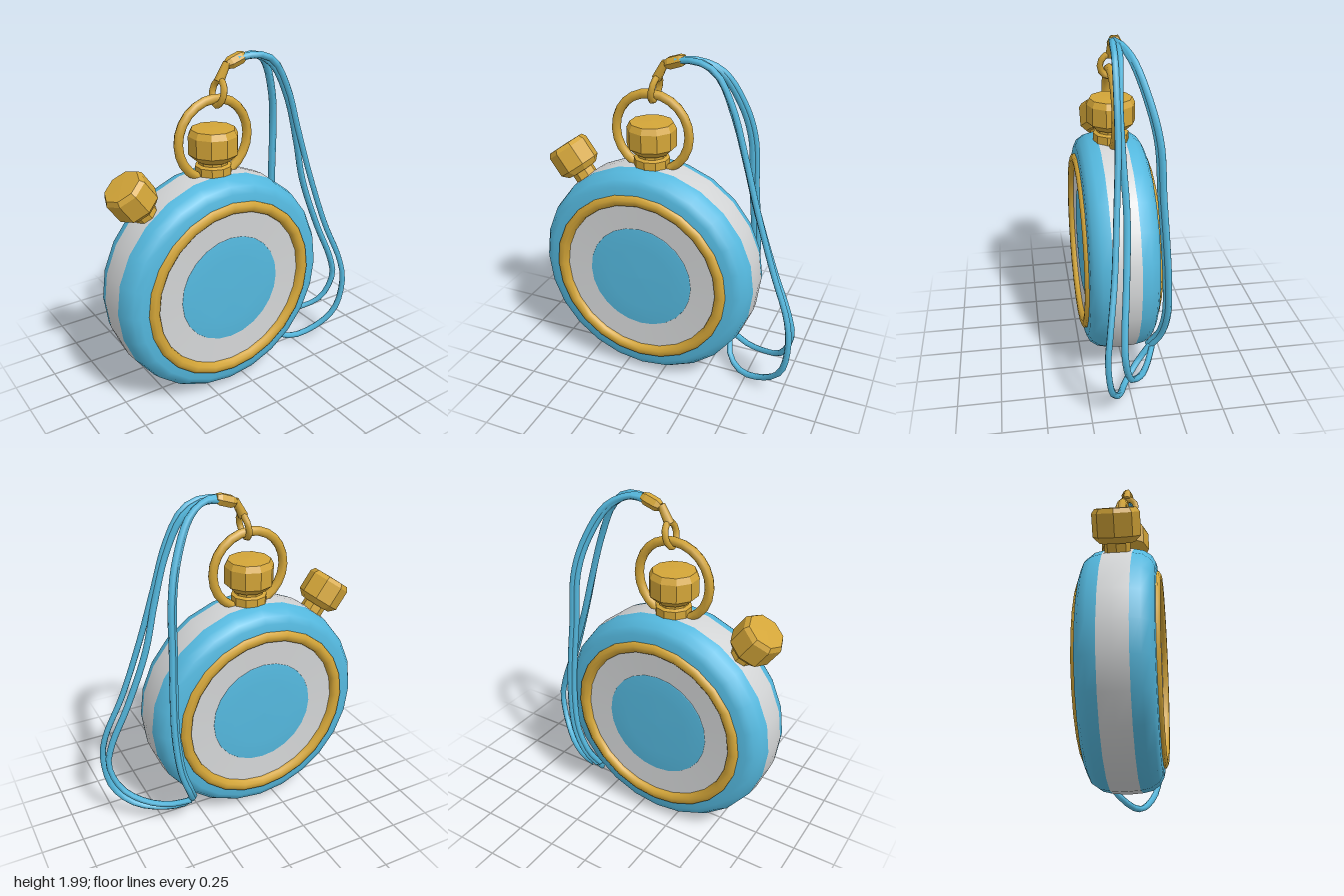
import * as THREE from 'three';

const CX = -0.13, CY = 0.67, CZ = 0.017;

function material(name, color, extra = {}) {
  const m = new THREE.MeshStandardMaterial({ color, ...extra });
  m.name = name;
  return m;
}

export function createModel() {
  const model = new THREE.Group();
  model.name = 'stopwatch';
  const blue = material('sky blue', 0x54b8de);
  const gold = material('gold', 0xd3a538);
  const grey = material('light grey', 0xd2d4d5);

  function add(parent, name, geometry, mat) {
    const mesh = new THREE.Mesh(geometry, mat);
    mesh.name = name;
    parent.add(mesh);
    return mesh;
  }
  // Turned part whose axis points along +z
  function turned(points, segments = 24) {
    const g = new THREE.LatheGeometry(points.map(p => new THREE.Vector2(...p)), segments);
    return g.rotateX(Math.PI / 2);
  }
  // Faceted turned part along +y
  function faceted(points, sides) {
    const g = new THREE.LatheGeometry(points.map(p => new THREE.Vector2(...p)), sides).toNonIndexed();
    g.computeVertexNormals();
    return g;
  }

  // Case: a grey middle band and two identical sides
  const body = new THREE.Group();
  body.name = 'case';
  body.position.set(CX, CY, CZ);
  model.add(body);
  add(body, 'middleBand', turned([[0.672, -0.08], [0.678, 0], [0.672, 0.08]]), grey);

  for (const [name, angle] of [['front', 0], ['back', Math.PI]]) {
    const side = new THREE.Group();
    side.name = name + 'Side';
    side.rotation.y = angle;
    body.add(side);
    add(side, name + 'Shell', turned([[0.672, 0.08], [0.66, 0.135], [0.63, 0.178], [0.59, 0.198], [0.52, 0.203]]), blue);
    add(side, name + 'Bezel', turned([[0.546, 0.19], [0.543, 0.212], [0.522, 0.224], [0.5, 0.222], [0.482, 0.208], [0.478, 0.18]]), gold);
    add(side, name + 'DialRing', turned([[0.485, 0.19], [0.32, 0.184]]), grey);
    add(side, name + 'DialCentre', turned([[0.326, 0.182], [0.322, 0.19], [0.2, 0.193], [0, 0.195]]), blue);
  }

  // Winding crown on top
  const crown = new THREE.Group();
  crown.name = 'crown';
  crown.position.set(CX + 0.005, 0, CZ);
  model.add(crown);
  add(crown, 'crownStem', faceted([[0, 1.27], [0.105, 1.27], [0.105, 1.38], [0.085, 1.39], [0.085, 1.43]], 10), gold);
  add(crown, 'crownHead', faceted([[0, 1.41], [0.1, 1.41], [0.143, 1.45], [0.143, 1.555], [0.125, 1.59], [0, 1.595]], 10), gold);

  // Slanted push button
  const button = new THREE.Group();
  button.name = 'pushButton';
  button.position.set(-0.635, 1.29, CZ);
  button.rotation.z = 0.62;
  model.add(button);
  add(button, 'buttonStem', faceted([[0, -0.2], [0.07, -0.2], [0.07, -0.06]], 8), gold);
  add(button, 'buttonHead', faceted([[0, -0.085], [0.095, -0.085], [0.13, -0.05], [0.13, 0.075], [0.112, 0.1], [0, 0.102]], 8), gold);

  // Hanging ring, with a link and bead to the cord
  const ring = add(model, 'hangingRing', new THREE.TorusGeometry(0.226, 0.027, 7, 24), gold);
  ring.position.set(-0.122, 1.527, CZ);
  const link = add(model, 'link', new THREE.TorusGeometry(0.056, 0.018, 6, 12), gold);
  link.scale.y = 1.2;
  link.rotation.set(0, Math.PI / 2, -0.2, 'ZYX');
  link.position.set(-0.095, 1.785, 0.025);
  const swivel = add(model, 'swivel', new THREE.CylinderGeometry(0.022, 0.028, 0.11, 6), gold);
  swivel.position.set(-0.062, 1.89, 0.022);
  swivel.rotation.z = -0.5;
  const bead = add(model, 'cordBead', faceted([[0, -0.06], [0.025, -0.06], [0.036, -0.035], [0.036, 0.035], [0.025, 0.06], [0, 0.06]], 6), gold);
  bead.position.set(0.022, 1.945, 0.018);
  bead.rotation.z = -1.25;

  // Cord strands
  const cords = {
    frontCord: [[0.04, 1.955, 0.03], [0.15, 1.965, 0.045], [0.26, 1.92, 0.05], [0.36, 1.75, 0.055], [0.44, 1.5, 0.06],
      [0.53, 1.2, 0.08], [0.65, 0.85, 0.11], [0.76, 0.58, 0.15], [0.785, 0.43, 0.165], [0.75, 0.2, 0.14],
      [0.63, 0.07, 0.08], [0.47, 0.024, 0.02], [0.37, 0.07, -0.06], [0.34, 0.18, -0.15]],
    middleCord: [[0.04, 1.95, 0.01], [0.16, 1.955, 0.015], [0.27, 1.89, 0.025], [0.37, 1.69, 0.04], [0.45, 1.42, 0.035],
      [0.52, 1.15, 0.025], [0.64, 0.82, 0.045], [0.75, 0.56, 0.07], [0.78, 0.42, 0.07], [0.72, 0.25, 0.03],
      [0.6, 0.17, -0.05], [0.47, 0.145, -0.11], [0.35, 0.17, -0.16]],
    backCord: [[0.04, 1.95, 0.02], [0.15, 1.96, 0], [0.27, 1.9, -0.05], [0.38, 1.7, -0.12], [0.43, 1.5, -0.165],
      [0.445, 1.2, -0.185], [0.46, 0.95, -0.205], [0.465, 0.7, -0.222], [0.44, 0.45, -0.23], [0.38, 0.27, -0.205], [0.34, 0.17, -0.15]],
  };
  for (const [name, points] of Object.entries(cords)) {
    const curve = new THREE.CatmullRomCurve3(points.map(p => new THREE.Vector3(...p)));
    add(model, name, new THREE.TubeGeometry(curve, 40, 0.019, 6), blue);
  }
  // Second strand of the back cord, lying beside the first
  const twin = model.getObjectByName('backCord').clone();
  twin.name = 'backCordTwin';
  twin.position.set(-0.018, 0.005, 0.012);
  model.add(twin);

  return model;
}
